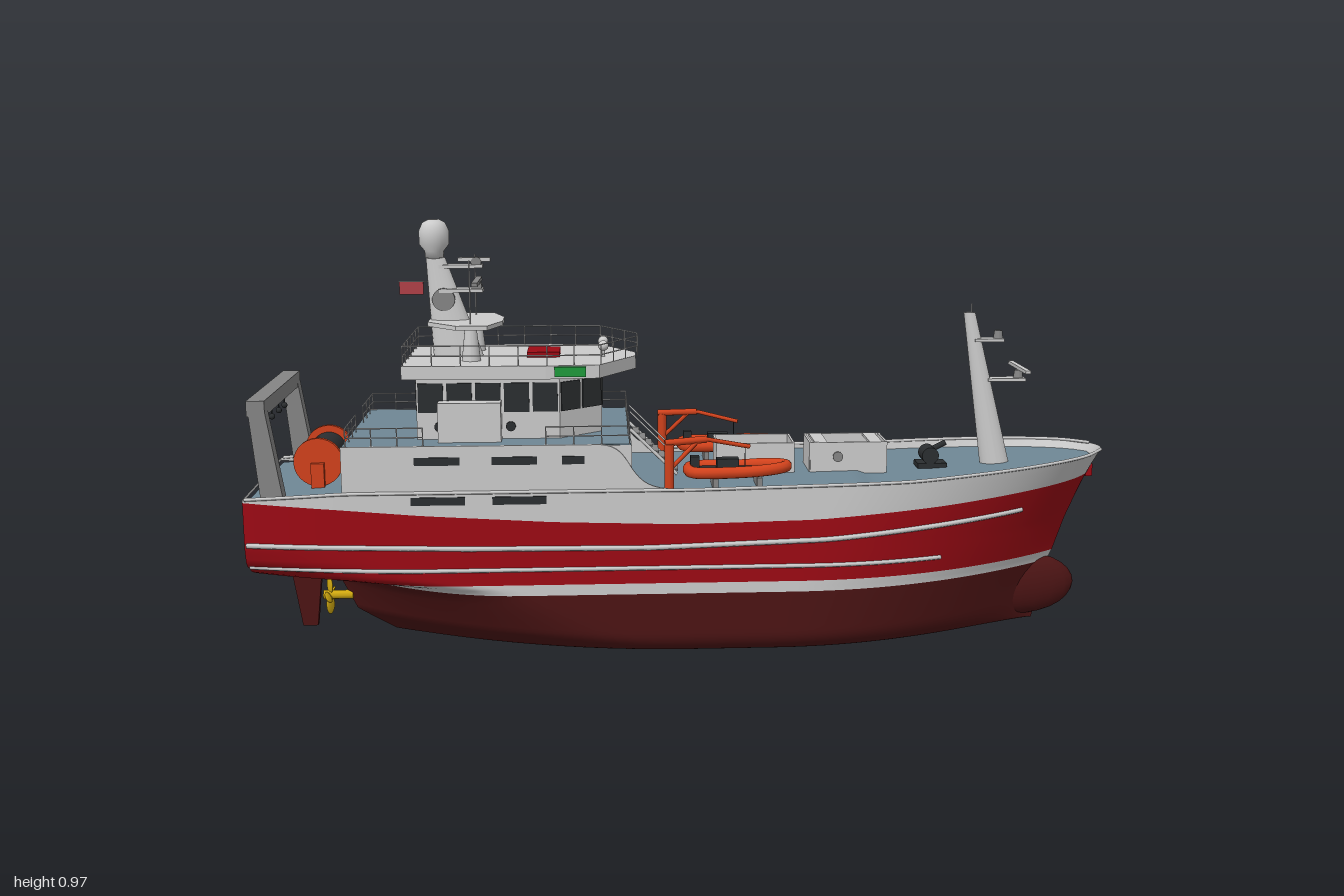
import * as THREE from 'three';

const GREY = 0xcccccc, RED = 0x9c0a14, DARKRED = 0x4c1414, DECK = 0x6f8795, ORANGE = 0xd2421c,
  BLACK = 0x2b2e30, STEEL = 0x858585, GOLD = 0xd2aa10;
const mats = {};
const mat = (c, dbl) => mats[c + '_' + !!dbl] ??= new THREE.MeshStandardMaterial({ color: c, side: dbl ? THREE.DoubleSide : THREE.FrontSide });
const V = (x, y, z) => new THREE.Vector3(x, y, z);

// piecewise linear lookup
const table = (...p) => t => {
  if (t <= p[0][0]) return p[0][1];
  for (let i = 1; i < p.length; i++)
    if (t <= p[i][0]) return THREE.MathUtils.mapLinear(t, p[i - 1][0], p[i][0], p[i - 1][1], p[i][1]);
  return p[p.length - 1][1];
};

// hull lines
const stem = table([0, 0.84], [0.15, 0.875], [0.17, 0.885], [0.25, 0.912], [0.36, 0.958], [0.425, 0.99]);
const stern = table([0, -0.70], [0.05, -0.79], [0.13, -0.83], [0.155, -0.86], [0.185, -1]);
const transom = table([0.15, 0], [0.17, 0.4], [0.185, 0.65], [0.22, 0.9], [0.26, 0.945]);
const runLength = table([0, 0.7], [0.15, 0.45], [0.26, 0.22]);
const bowPower = table([0, 1.25], [0.15, 1], [0.42, 0.5]);
const redTop = table([-1, 0.365], [-0.8, 0.35], [-0.6, 0.333], [-0.3, 0.315], [0, 0.306], [0.3, 0.312], [0.6, 0.333], [1, 0.368]);
const sheer = table([-1, 0.372], [-0.78, 0.385], [0, 0.385], [0.5, 0.395], [0.98, 0.425]);
const half = (x, y) => {
  const eb = THREE.MathUtils.clamp((stem(y) - x) / 0.65, 0, 1), es = THREE.MathUtils.clamp((x - stern(y)) / runLength(y), 0, 1);
  const bow = (1 - (1 - eb) ** 2) ** bowPower(y), t = transom(y), aft = t + (1 - t) * (1 - (1 - es) ** 2);
  const bilge = y < 0.05 ? 0.8 + 0.2 * Math.sqrt(1 - (1 - y / 0.05) ** 2) : 1;
  return 0.238 * bow * aft * bilge;
};

// surface from a grid of points, columns by rows
function gridGeometry(cols, rows, point, flip) {
  const pos = [], idx = [];
  for (let i = 0; i < cols; i++) for (let j = 0; j < rows; j++) pos.push(...point(i, j));
  for (let i = 0; i < cols - 1; i++) for (let j = 0; j < rows - 1; j++) {
    const a = i * rows + j, b = a + rows, c = b + 1, d = a + 1;
    idx.push(...(flip ? [a, c, b, a, d, c] : [a, b, c, a, c, d]));
  }
  const g = new THREE.BufferGeometry();
  g.setAttribute('position', new THREE.Float32BufferAttribute(pos, 3));
  g.setIndex(idx);
  g.computeVertexNormals();
  return g;
}

export function createModel() {
  const root = new THREE.Group();
  root.name = 'fishingVessel';
  const add = (geo, color, name, x = 0, y = 0, z = 0, dbl) => {
    const m = new THREE.Mesh(geo, mat(color, dbl));
    m.name = name;
    m.position.set(x, y, z);
    root.add(m);
    return m;
  };
  const box = (w, h, d, color, name, x, y, z) => add(new THREE.BoxGeometry(w, h, d), color, name, x, y, z);
  const ball = (r, color, name, x, y, z) => add(new THREE.SphereGeometry(r, 20, 14), color, name, x, y, z);
  const rod = (a, b, r, color, name) => {
    const m = add(new THREE.CylinderGeometry(r, r, a.distanceTo(b), 8), color, name);
    m.position.lerpVectors(a, b, 0.5);
    m.quaternion.setFromUnitVectors(V(0, 1, 0), b.clone().sub(a).normalize());
    return m;
  };
  const drum = (r, len, color, name, x, y, z) => add(new THREE.CylinderGeometry(r, r, len, 28).rotateX(Math.PI / 2), color, name, x, y, z);
  const rail = (pts, h, name) => pts.forEach((p, i) => {
    if (!i) return;
    const q = pts[i - 1], n = Math.max(1, Math.round(p.distanceTo(q) / 0.06));
    for (const k of [0.5, 1]) rod(V(q.x, q.y + h * k, q.z), V(p.x, p.y + h * k, p.z), 0.0014, GREY, name);
    for (let j = 0; j <= n; j++) {
      const a = q.clone().lerp(p, j / n);
      rod(a, V(a.x, a.y + h, a.z), 0.0014, GREY, name);
    }
  });
  // mirrored plan outline raised between two heights
  const prism = (pts, y0, y1, color, name) => {
    const s = new THREE.Shape([...pts, ...pts.map(([x, z]) => [x, -z]).reverse()].map(([x, z]) => new THREE.Vector2(x, z)));
    return add(new THREE.ExtrudeGeometry(s, { depth: y1 - y0, bevelEnabled: false }).rotateX(-Math.PI / 2), color, name, 0, y0, 0);
  };
  // side outline given a thickness across the ship
  const plate = (shape, t, color, name, z) =>
    add(new THREE.ExtrudeGeometry(shape, { depth: t, bevelEnabled: false, curveSegments: 16 }), color, name, 0, 0, z - t / 2);
  // leaning tapered post
  const post = (x0, x1, y0, y1, r0, r1, zs, z, name, color = GREY) => {
    const g = new THREE.CylinderGeometry(r1, r0, y1 - y0, 20), p = g.attributes.position;
    for (let i = 0; i < p.count; i++) {
      const t = p.getY(i) / (y1 - y0) + 0.5;
      p.setXYZ(i, p.getX(i) + x0 + (x1 - x0) * t, y0 + (y1 - y0) * t, p.getZ(i) * zs);
    }
    g.computeVertexNormals();
    return add(g, color, name, 0, 0, z);
  };

  // hull in colour bands, both sides, with transom and flat bottom
  const band = (name, color, rows, yAt, bottom, dbl) => {
    const N = 72;
    for (const s of [1, -1]) add(gridGeometry(N + 3, rows + 1, (i, j) => {
      const u = (1 - Math.cos(Math.PI * Math.max(0, i - 2) / N)) / 2;
      const v = bottom ? Math.max(0, j - 1) / (rows - 1) : j / rows;
      const y = yAt(v, -1 + 1.98 * u), x = THREE.MathUtils.lerp(stern(y), stem(y), u);
      return [x, y, i === 0 || (bottom && j === 0) ? 0 : s * half(x, y)];
    }, s < 0), color, name, 0, 0, 0, dbl);
  };
  band('lowerHull', DARKRED, 18, v => 0.145 * v ** 1.6, true);
  band('waterlineStripe', GREY, 4, v => 0.145 + 0.025 * v);
  band('upperHull', RED, 20, (v, x) => 0.17 + (redTop(x) - 0.17) * v ** 1.4);
  band('bulwark', GREY, 3, (v, x) => redTop(x) + (sheer(x) - redTop(x)) * v, false, true);
  const bulb = ball(1, DARKRED, 'bulbousBow', 0.80, 0.088, 0);
  bulb.scale.set(0.14, 0.078, 0.042);

  // weather deck
  add(gridGeometry(90, 2, (i, j) => {
    const x = -0.995 + 1.965 * i / 89, y = sheer(x) - (x > 0.4 ? 0.02 : 0.012);
    return [x, y, (j ? -1 : 1) * half(x, y) * 0.995];
  }), DECK, 'mainDeck', 0, 0, 0, true);

  // rubbing strakes and bulwark cap
  const strake = (x0, x1, yf, r, name) => {
    for (const s of [1, -1]) {
      const pts = [];
      for (let i = 0; i <= 40; i++) {
        const x = x0 + (x1 - x0) * i / 40, y = yf(x);
        pts.push(V(x, y, s * (half(x, y) + 0.001)));
      }
      add(new THREE.TubeGeometry(new THREE.CatmullRomCurve3(pts), 90, r, 6), GREY, name);
    }
  };
  strake(-0.995, 0.77, table([-1, 0.268], [-0.5, 0.256], [-0.1, 0.253], [0.3, 0.266], [0.77, 0.303]), 0.006, 'upperStrake');
  strake(-0.995, 0.57, table([-1, 0.212], [-0.6, 0.206], [0.57, 0.206]), 0.005, 'lowerStrake');
  strake(-0.995, 0.98, sheer, 0.004, 'bulwarkCap');

  // rudder and propeller
  const rud = new THREE.Shape([[-0.95, 0.2], [-0.92, 0.012], [-0.885, 0.012], [-0.865, 0.2]].map(p => new THREE.Vector2(...p)));
  plate(rud, 0.018, DARKRED, 'rudder', 0);
  rod(V(-0.8, 0.085, 0), V(-0.87, 0.085, 0), 0.011, GOLD, 'propellerHub');
  for (let i = 0; i < 4; i++) {
    const blade = add(new THREE.SphereGeometry(1, 12, 8).scale(0.004, 0.024, 0.014).rotateY(0.6).translate(0, 0.024, 0), GOLD, 'propellerBlade', -0.855, 0.085, 0);
    blade.rotation.x = i * Math.PI / 2;
  }

  // lower superstructure with swept side plates
  box(0.64, 0.126, 0.464, GREY, 'deckhouse', -0.46, 0.424, 0);
  box(0.636, 0.003, 0.46, DECK, 'upperDeck', -0.46, 0.488, 0);
  const wing = new THREE.Shape();
  wing.moveTo(-0.78, 0.37);
  wing.lineTo(-0.78, 0.49);
  wing.lineTo(-0.21, 0.49);
  wing.bezierCurveTo(-0.13, 0.485, -0.16, 0.395, -0.06, 0.388);
  wing.lineTo(-0.06, 0.37);
  for (const s of [1, -1]) {
    plate(wing, 0.006, GREY, 'sidePlate', s * 0.2345);
    for (const [x, y, w] of [[-0.57, 0.456, 0.1], [-0.4, 0.456, 0.1], [-0.27, 0.456, 0.05], [-0.57, 0.366, 0.12], [-0.39, 0.366, 0.12]])
      box(w, 0.018, 0.004, BLACK, 'sideVent', x, y, s * 0.238);
    rail([V(-0.77, 0.488, s * 0.06), V(-0.77, 0.488, s * 0.23), V(-0.6, 0.488, s * 0.23)], 0.042, 'upperDeckRail');
    rail([V(-0.33, 0.488, s * 0.23), V(-0.145, 0.488, s * 0.23), V(-0.145, 0.488, s * 0.05)], 0.042, 'upperDeckRail');
    box(0.14, 0.09, 0.04, GREY, 'deckLocker', -0.5, 0.533, s * 0.175);
  }

  // stairs to the fore deck
  for (let i = 0; i < 7; i++) box(0.016, 0.004, 0.08, STEEL, 'stairTread', -0.125 + i * 0.015, 0.474 - i * 0.0145, 0);
  for (const s of [1, -1]) {
    rod(V(-0.14, 0.487, s * 0.042), V(-0.03, 0.378, s * 0.042), 0.004, GREY, 'stairStringer');
    rod(V(-0.14, 0.528, s * 0.042), V(-0.04, 0.428, s * 0.042), 0.002, GREY, 'stairHandrail');
  }

  // wheelhouse with window band
  const plan = [[-0.62, 0.155], [-0.3, 0.155], [-0.205, 0.075]];
  prism(plan, 0.487, 0.632, GREY, 'wheelhouse');
  const panes = (a, b, n) => {
    const dx = b[0] - a[0], dz = b[1] - a[1], len = Math.hypot(dx, dz);
    for (let i = 0; i < n; i++) {
      const t = (i + 0.5) / n;
      box(len / n * 0.88, 0.066, 0.006, BLACK, 'wheelhouseWindow', a[0] + dx * t, 0.584, a[1] + dz * t).rotation.y = -Math.atan2(dz, dx);
    }
  };
  for (const s of [1, -1]) {
    const [a, b, c] = plan.map(([x, z]) => [x, z * s]);
    panes(a, b, 5);
    panes(b, c, 2);
    for (const x of [-0.57, -0.41]) drum(0.011, 0.006, BLACK, 'porthole', x, 0.518, s * 0.156);
  }
  panes([-0.205, 0.075], [-0.205, -0.075], 2);
  panes([-0.62, 0.14], [-0.62, -0.14], 3);
  const roof = [[-0.65, 0.172], [-0.33, 0.18], [-0.21, 0.17], [-0.125, 0.03]];
  prism(roof, 0.628, 0.658, GREY, 'wheelhouseRoof');
  const edge = roof.map(([x, z]) => V(x + 0.004, 0.658, z - 0.004));
  rail([...edge, ...edge.map(p => V(p.x, p.y, -p.z)).reverse(), edge[0]], 0.045, 'roofRail');
  box(0.075, 0.012, 0.095, RED, 'roofHatch', -0.338, 0.664, 0);
  box(0.07, 0.022, 0.008, 0x1f9a3c, 'starboardLight', -0.275, 0.645, 0.183);
  box(0.07, 0.022, 0.008, RED, 'portLight', -0.275, 0.645, -0.183);

  // main mast with platform, scanners and dome
  post(-0.535, -0.583, 0.655, 0.885, 0.058, 0.022, 0.55, 0, 'mainMast');
  prism([[-0.6, 0.05], [-0.53, 0.13], [-0.46, 0.13], [-0.43, 0.04]], 0.732, 0.742, GREY, 'mastPlatform');
  for (const s of [1, -1]) {
    post(-0.5, -0.5, 0.655, 0.735, 0.022, 0.013, 1, s * 0.085, 'exhaustPipe');
    rod(V(-0.5, 0.74, s * 0.09), V(-0.5, 0.885, s * 0.09), 0.0016, GREY, 'whipAntenna');
    rod(V(-0.2, 0.655, s * 0.04), V(-0.2, 0.68, s * 0.04), 0.004, GREY, 'searchlightStand');
    ball(0.012, GREY, 'searchlight', -0.2, 0.683, s * 0.04);
  }
  for (const [y, w] of [[0.81, 0.05], [0.865, 0.03]]) {
    box(0.1, 0.008, w, GREY, 'scannerBracket', -0.525, y, 0);
    drum(0.012, 0.02, STEEL, 'scannerMotor', -0.49, y + 0.009, 0);
  }
  box(0.014, 0.009, 0.165, STEEL, 'radarScanner', -0.49, 0.829, 0);
  box(0.075, 0.009, 0.014, GREY, 'upperScanner', -0.495, 0.88, 0);
  drum(0.026, 0.05, STEEL, 'mastCollar', -0.565, 0.79, 0);
  add(new THREE.LatheGeometry([[0, 0.88], [0.022, 0.885], [0.022, 0.9], [0.034, 0.915], [0.035, 0.945], [0.026, 0.965], [0.012, 0.972], [0, 0.973]]
    .map(p => new THREE.Vector2(...p)), 28), GREY, 'antennaDome', -0.585, 0, 0);
  rod(V(-0.57, 0.83, 0), V(-0.67, 0.83, 0), 0.0014, GREY, 'flagLine');
  box(0.055, 0.03, 0.002, 0xb04048, 'flag', -0.64, 0.815, 0);

  // stern gantry and net drum
  const leg = new THREE.Shape([[-0.96, 0.36], [-0.982, 0.59], [-0.945, 0.58], [-0.91, 0.36]].map(p => new THREE.Vector2(...p)));
  for (const s of [1, -1]) {
    plate(leg, 0.036, STEEL, 'gantryLeg', s * 0.2);
    drum(0.056, 0.012, ORANGE, 'netDrumFlange', -0.855, 0.425, s * 0.08);
    box(0.03, 0.06, 0.012, ORANGE, 'netDrumStand', -0.855, 0.395, s * 0.095);
  }
  box(0.04, 0.035, 0.436, STEEL, 'gantryBeam', -0.963, 0.574, 0);
  for (const z of [-0.11, -0.04, 0.04, 0.11]) {
    rod(V(-0.963, 0.565, z), V(-0.963, 0.53, z), 0.0016, BLACK, 'blockLine');
    ball(0.007, BLACK, 'gantryBlock', -0.963, 0.525, z);
  }
  drum(0.04, 0.16, BLACK, 'netRoll', -0.855, 0.425, 0);

  // rescue boats and davits on both sides
  for (const s of [1, -1]) {
    const z = s * 0.15, hoop = [[0, 0.034], [0.1, 0.038], [0.17, 0.034], [0.205, 0.018], [0.215, 0]];
    const path = [...hoop, ...hoop.slice(0, 4).reverse().map(([x, w]) => [x, -w])].map(([x, w]) => V(x, 0.412 + 0.06 * Math.max(0, x - 0.1), z + w));
    add(new THREE.TubeGeometry(new THREE.CatmullRomCurve3(path, true), 64, 0.0135, 10, true), ORANGE, 'rescueBoatTube');
    box(0.17, 0.01, 0.06, BLACK, 'rescueBoatFloor', 0.09, 0.409, z);
    box(0.05, 0.026, 0.026, BLACK, 'rescueBoatConsole', 0.08, 0.425, z);
    box(0.02, 0.035, 0.02, BLACK, 'outboardMotor', 0.005, 0.426, z);
    for (const x of [0.05, 0.15]) box(0.012, 0.025, 0.08, STEEL, 'boatCradle', x, 0.387, z);
    rod(V(-0.055, 0.37, s * 0.19), V(-0.055, 0.48, s * 0.19), 0.011, ORANGE, 'davitPost');
    rod(V(-0.065, 0.482, s * 0.19), V(0.03, 0.487, s * 0.175), 0.008, ORANGE, 'davitArm');
    rod(V(0.03, 0.487, s * 0.175), V(0.13, 0.465, s * 0.155), 0.005, ORANGE, 'davitJib');
    rod(V(-0.055, 0.42, s * 0.19), V(0.01, 0.484, s * 0.18), 0.005, ORANGE, 'davitRam');
    rod(V(0.12, 0.467, s * 0.155), V(0.12, 0.42, z), 0.001, BLACK, 'davitWire');
  }

  // open bins on the fore deck
  for (const [x0, x1] of [[0.065, 0.245], [0.285, 0.465]]) {
    const cx = (x0 + x1) / 2;
    for (const z of [-0.07, 0.04]) box(x1 - x0, 0.075, 0.005, GREY, 'binSide', cx, 0.412, z);
    for (const x of [x0, x1]) box(0.005, 0.075, 0.11, GREY, 'binEnd', x, 0.412, -0.015);
  }
  for (const x of [0.31, 0.44]) box(0.03, 0.006, 0.11, GREY, 'binCover', x, 0.447, -0.015);
  drum(0.012, 0.006, STEEL, 'binPort', 0.35, 0.415, 0.044);

  // anchor winch
  box(0.07, 0.012, 0.05, BLACK, 'winchBase', 0.58, 0.386, 0);
  drum(0.02, 0.05, BLACK, 'winchDrum', 0.575, 0.41, 0);
  rod(V(0.56, 0.41, 0), V(0.615, 0.438, 0), 0.007, BLACK, 'winchArm');

  // fore mast with lamps and scanner
  post(0.737, 0.663, 0.375, 0.75, 0.036, 0.014, 0.75, 0, 'foreMast');
  for (const [x, y, w] of [[0.71, 0.685, 0.07], [0.755, 0.59, 0.09]]) {
    box(w, 0.007, 0.035, GREY, 'foreMastBracket', x, y, 0);
    post(x + w / 3, x + w / 3, y, y + 0.022, 0.012, 0.009, 1, 0, 'foreMastLamp', STEEL);
  }
  box(0.012, 0.008, 0.16, GREY, 'foreScanner', 0.79, 0.616, -0.01);
  rod(V(0.668, 0.74, 0), V(0.668, 0.77, 0), 0.0016, GREY, 'foreAntenna');
  box(0.016, 0.03, 0.034, RED, 'bowFairlead', 0.962, 0.37, 0);
  return root;
}
